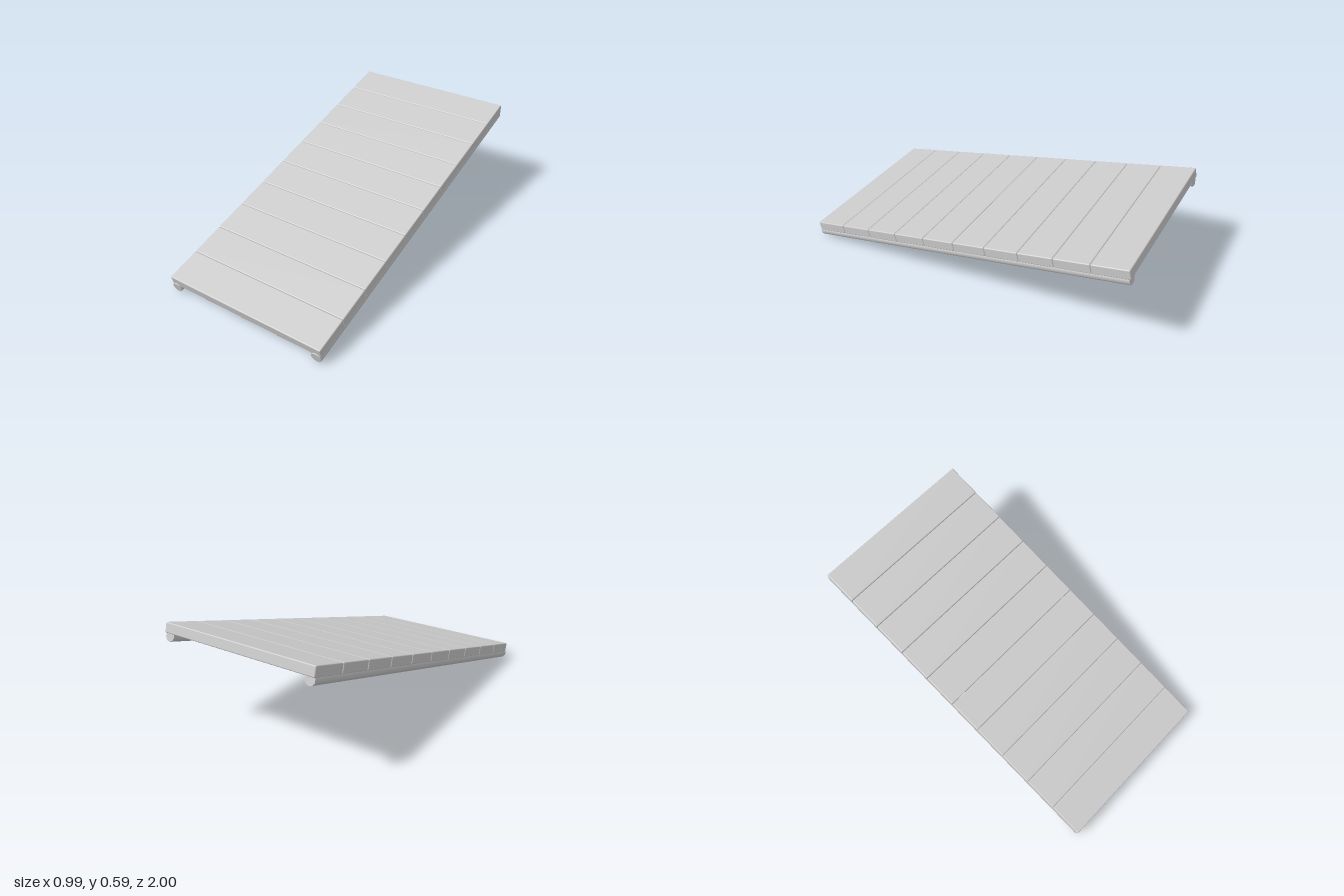
import * as THREE from 'three';
import { RoundedBoxGeometry } from 'three/addons/geometries/RoundedBoxGeometry.js';

export function createModel() {
  const group = new THREE.Group();
  group.name = 'ramp';
  const material = new THREE.MeshStandardMaterial({ color: 0xcccccc });

  // Sloping frame: everything inside is built flat, then tilted up to the back
  const deck = new THREE.Group();
  deck.name = 'deck';
  deck.position.set(0, 0.32, 0);
  deck.rotation.x = Math.atan(0.25);
  group.add(deck);

  // Ten planks side by side, with softened edges
  const count = 10, pitch = 0.2046;
  const plankGeometry = new RoundedBoxGeometry(0.994, 0.056, pitch - 0.001, 2, 0.006);
  for (let i = 0; i < count; i++) {
    const plank = new THREE.Mesh(plankGeometry, material);
    plank.name = 'plank' + (i + 1);
    plank.position.z = (i - (count - 1) / 2) * pitch;
    deck.add(plank);
  }

  // Round rails under both long edges
  const railGeometry = new THREE.CylinderGeometry(0.031, 0.031, 2.042, 10);
  railGeometry.rotateX(Math.PI / 2);
  for (const side of [1, -1]) {
    const rail = new THREE.Mesh(railGeometry, material);
    rail.name = side > 0 ? 'leftRail' : 'rightRail';
    rail.position.set(side * 0.466, -0.041, 0.008);
    deck.add(rail);
  }

  return group;
}
